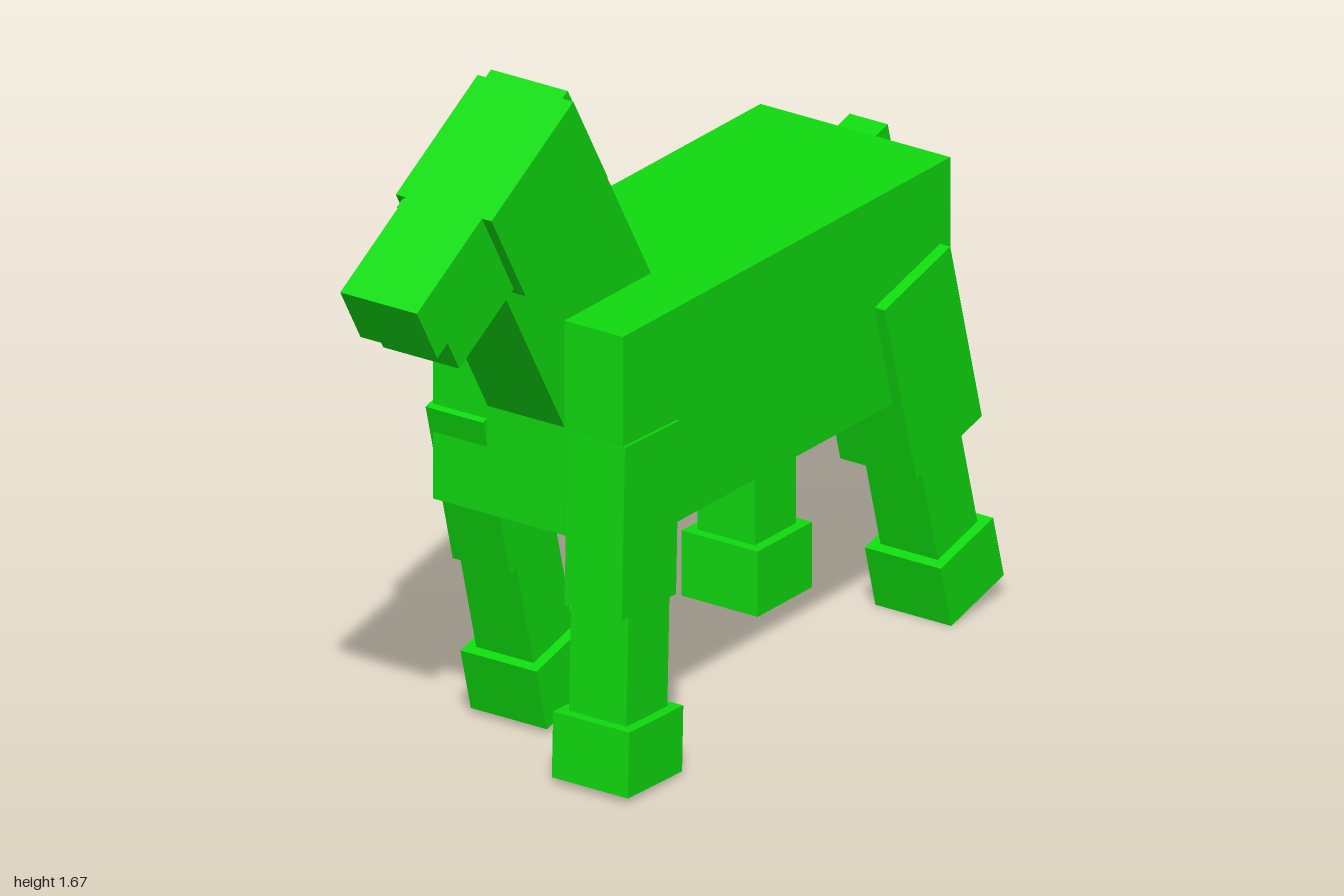
import * as THREE from 'three';

const green = new THREE.MeshStandardMaterial({ color: 0x0fdc0f });
green.name = 'green';
const rad = THREE.MathUtils.degToRad;

function box(name, size, pos, pitch = 0) {
  const mesh = new THREE.Mesh(new THREE.BoxGeometry(...size), green);
  mesh.name = name;
  mesh.position.set(...pos);
  mesh.rotation.x = rad(pitch);
  return mesh;
}

// Leg group: origin at the hoof centre, upper parts stacked along local y
function leg(name, upperSize, upperY, pos, pitch) {
  const g = new THREE.Group();
  g.name = name;
  g.add(
    box('upperLeg', upperSize, [0, upperY, 0]),
    box('shin', [0.157, 0.27, 0.157], [0, 0.21, 0]),
    box('hoof', [0.208, 0.158, 0.208], [0, 0, 0])
  );
  g.position.set(...pos);
  g.rotation.x = rad(pitch);
  return g;
}

export function createModel() {
  const model = new THREE.Group();
  model.name = 'horse';

  model.add(box('body', [0.52, 0.52, 1.255], [0, 0.86, -0.207]));

  // Neck leaning forward, origin at the top of its back edge
  const neck = new THREE.Group();
  neck.name = 'neck';
  neck.position.set(0, 1.672, 0.408);
  neck.rotation.x = rad(30);
  neck.add(box('neckBlock', [0.21, 0.73, 0.416], [-0.005, -0.365, 0.208]));
  model.add(neck);

  // Head pitched down, origin at the top of its back edge
  const head = new THREE.Group();
  head.name = 'head';
  head.position.set(0.005, 1.665, 0.437);
  head.rotation.x = rad(30);
  head.add(
    box('skull', [0.262, 0.262, 0.362], [0, -0.131, 0.181]),
    box('muzzle', [0.21, 0.156, 0.31], [0, -0.078, 0.495]),
    box('jaw', [0.208, 0.104, 0.26], [0, -0.194, 0.473])
  );
  model.add(head);

  model.add(box('tail', [0.104, 0.153, 0.104], [0, 1.043, -0.855], 15));

  // Legs in mid-stride
  const thigh = [0.208, 0.468, 0.26];
  const foreleg = [0.157, 0.416, 0.208];
  model.add(
    leg('leftFrontLeg', foreleg, 0.548, [0.188, 0.095, 0.34], -1.7),
    leg('rightFrontLeg', foreleg, 0.548, [-0.19, 0.12, 0.147], 14.5),
    leg('leftBackLeg', thigh, 0.577, [0.184, 0.107, -0.879], 15),
    leg('rightBackLeg', thigh, 0.575, [-0.187, 0.09, -0.68], 0)
  );
  return model;
}
